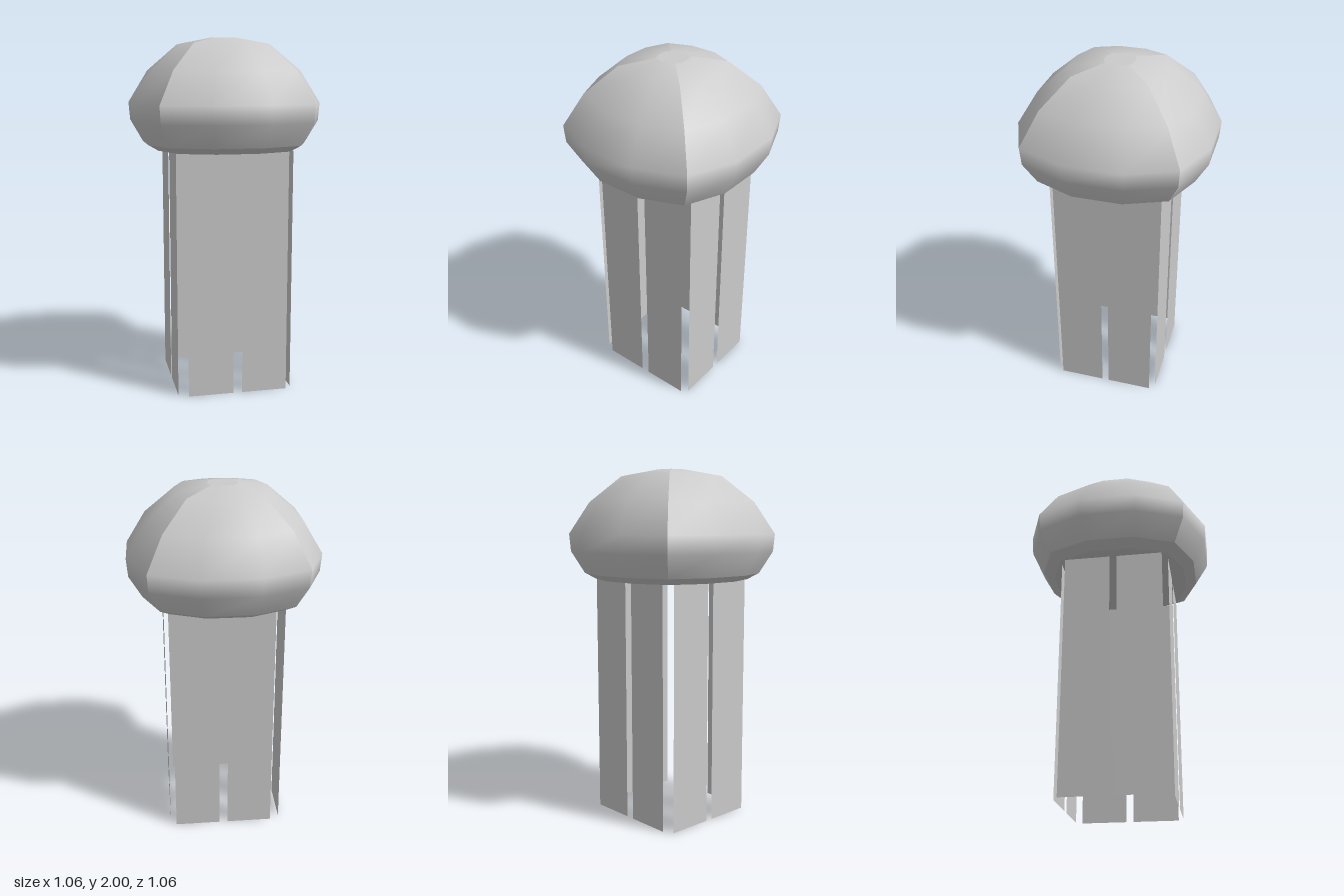
import * as THREE from 'three';

const grey = new THREE.MeshStandardMaterial({ color: 0xcccccc });
const thin = new THREE.MeshStandardMaterial({ color: 0xcccccc, side: THREE.DoubleSide });

// One quarter of the bell's rounded-square outline, as [across, outward] factors
const side = [[-0.795, 0.795], [-0.3, 1], [0.3, 1], [0.795, 0.795]];

// Bell profile: [radius, height]
const dome = [[0.45, 1.415], [0.52, 1.54], [0.528, 1.64], [0.42, 1.82], [0.255, 1.965], [0.08, 2]];
const rim = [[0.39, 1.38], dome[0]];

function add(parent, name, geometry, material) {
  const mesh = new THREE.Mesh(geometry, material);
  mesh.name = name;
  parent.add(mesh);
  return mesh;
}

// Smooth panel facing +z, lofted through the profile rows from bottom to top
function panel(rows) {
  const n = side.length;
  const pos = [];
  const index = [];
  rows.forEach(([r, y], j) => {
    side.forEach(([u, w], i) => {
      pos.push(u * r, y, w * r);
      if (i < n - 1 && j < rows.length - 1) {
        const a = j * n + i;
        index.push(a, a + 1, a + n + 1, a, a + n + 1, a + n);
      }
    });
  });
  const g = new THREE.BufferGeometry();
  g.setAttribute('position', new THREE.Float32BufferAttribute(pos, 3));
  g.setIndex(index);
  g.computeVertexNormals();
  return g;
}

// Flat lid with the bell's outline; dir 1 faces up, -1 faces down
function lid([r, y], dir) {
  const points = [];
  for (let k = 0; k < 4; k++) {
    for (const [u, w] of side.slice(0, 3)) {
      points.push(new THREE.Vector2(u * r, -w * r).rotateAround(new THREE.Vector2(), k * Math.PI / 2));
    }
  }
  return new THREE.ShapeGeometry(new THREE.Shape(points)).rotateX(-dir * Math.PI / 2).translate(0, y, 0);
}

export function createModel() {
  const model = new THREE.Group();
  model.name = 'jellyfish';

  // Bell: four panels creased at the corners, closed above and below
  const bell = new THREE.Group();
  bell.name = 'bell';
  model.add(bell);
  for (let k = 0; k < 4; k++) {
    add(bell, 'bellPanel', panel(dome), grey).rotation.y = k * Math.PI / 2;
    add(bell, 'bellRim', panel(rim), grey).rotation.y = k * Math.PI / 2;
  }
  add(bell, 'bellTop', lid(dome[dome.length - 1], 1), grey);
  add(bell, 'bellUnderside', lid(rim[0], -1), grey);

  // Tentacles: two flat strips on each of the four sides
  const tentacles = new THREE.Group();
  tentacles.name = 'tentacles';
  model.add(tentacles);
  const height = 1.38;
  const strip = new THREE.PlaneGeometry(0.26, height).translate(0, height / 2, 0);
  for (const s of [-1, 1]) {
    for (const z of [0.31, -0.31]) {
      const t = add(tentacles, z > 0 ? 'frontTentacle' : 'backTentacle', strip, thin);
      t.position.set(0.022 + s * 0.155, 0, z);
      t.rotation.y = z > 0 ? 0 : Math.PI;
    }
    for (const x of [0.34, -0.318]) {
      const t = add(tentacles, x > 0 ? 'leftTentacle' : 'rightTentacle', strip, thin);
      t.position.set(x, 0, s * 0.15);
      t.rotation.y = Math.sign(x) * Math.PI / 2;
    }
  }
  return model;
}
